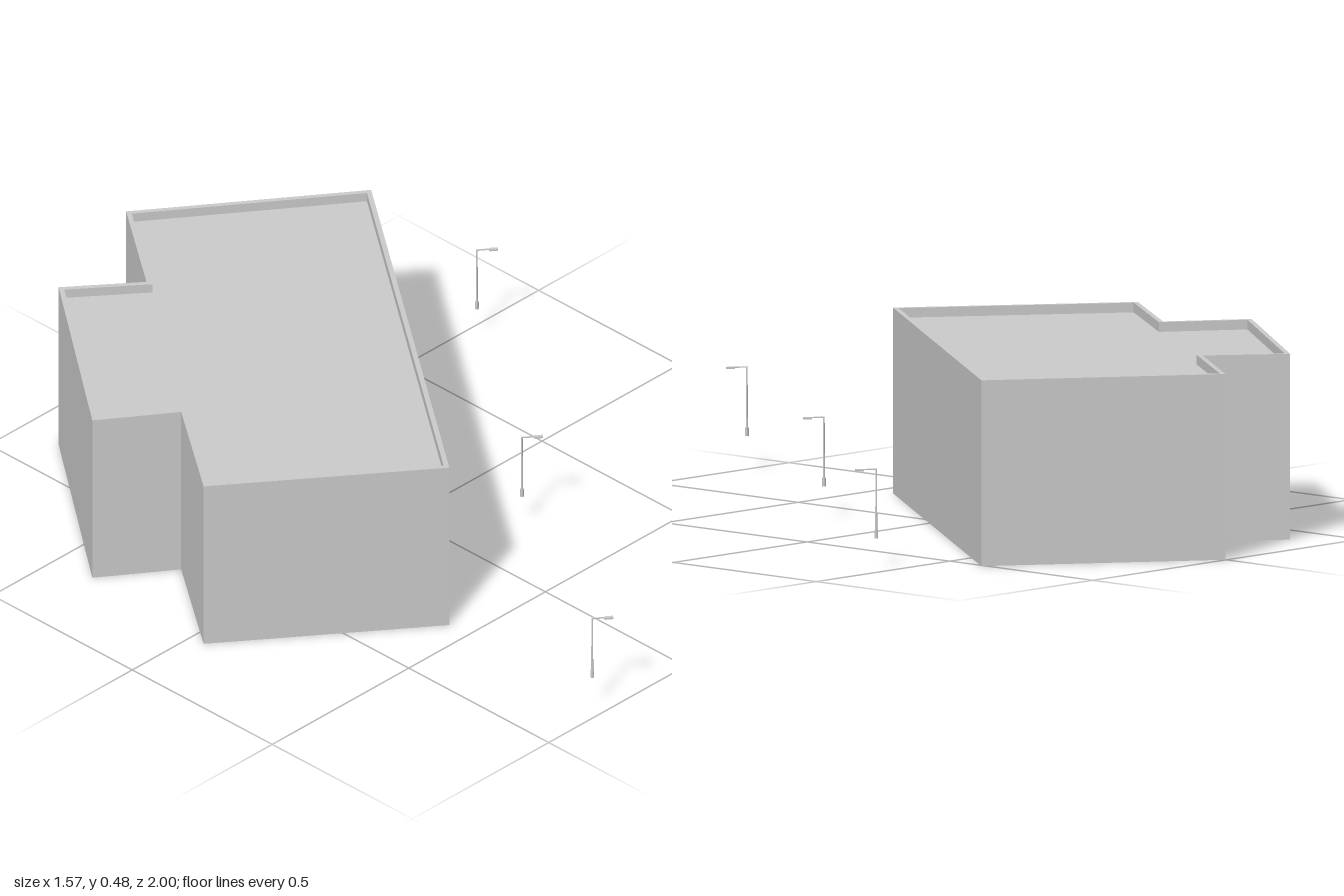
import * as THREE from 'three';

const HEIGHT = 0.48, PARAPET = 0.025, RIM = 0.013;
const grey = new THREE.MeshStandardMaterial({ color: 0xcccccc, flatShading: true, side: THREE.DoubleSide });

// Building footprint as (x, z) corners
const outline = [
  [0, -0.998], [0.51, -0.62], [-0.283, 0.433], [-0.785, 0.045],
  [-0.575, -0.24], [-0.762, -0.375], [-0.375, -0.873], [-0.2, -0.73],
].map(([x, z]) => new THREE.Vector2(x, z));

// Moves every corner inwards by d with mitred joints
function inset(points, d) {
  const n = points.length;
  const normal = (a, b) => new THREE.Vector2(a.y - b.y, b.x - a.x).normalize();
  return points.map((p, i) => {
    const n1 = normal(points[(i + n - 1) % n], p);
    const n2 = normal(p, points[(i + 1) % n]);
    return p.clone().addScaledVector(n1.clone().add(n2), d / (1 + n1.dot(n2)));
  });
}

function addMesh(parent, name, geometry, x = 0, y = 0, z = 0) {
  const mesh = new THREE.Mesh(geometry, grey);
  mesh.name = name;
  mesh.position.set(x, y, z);
  parent.add(mesh);
  return mesh;
}

function createBuilding() {
  const building = new THREE.Group();
  building.name = 'building';

  // Thin outer walls, open underneath
  const wallHeight = HEIGHT - PARAPET;
  outline.forEach((a, i) => {
    const b = outline[(i + 1) % outline.length];
    const wall = addMesh(building, 'wall', new THREE.PlaneGeometry(a.distanceTo(b), wallHeight),
      (a.x + b.x) / 2, wallHeight / 2, (a.y + b.y) / 2);
    wall.rotation.y = Math.atan2(b.y - a.y, a.x - b.x);
  });

  // Flat roof sunk behind a raised rim
  const inner = inset(outline, RIM);
  addMesh(building, 'roof', new THREE.ShapeGeometry(new THREE.Shape(inner)).rotateX(Math.PI / 2), 0, wallHeight, 0);
  const rim = new THREE.Shape(outline);
  rim.holes.push(new THREE.Path(inner));
  addMesh(building, 'parapet',
    new THREE.ExtrudeGeometry(rim, { depth: PARAPET, bevelEnabled: false }).rotateX(Math.PI / 2), 0, HEIGHT, 0);
  return building;
}

// Street lamp with a single arm reaching along local +x
function createLamp(x, y, z) {
  const lamp = new THREE.Group();
  lamp.name = 'streetLamp';
  const h = 0.18;
  addMesh(lamp, 'lampBase', new THREE.CylinderGeometry(0.005, 0.005, 0.022, 8), 0, 0.011, 0);
  addMesh(lamp, 'lampPole', new THREE.CylinderGeometry(0.002, 0.003, h, 8), 0, h / 2, 0);
  addMesh(lamp, 'lampArm', new THREE.BoxGeometry(0.035, 0.003, 0.003), 0.016, h - 0.0015, 0);
  addMesh(lamp, 'lampHead', new THREE.BoxGeometry(0.022, 0.005, 0.009), 0.043, h - 0.003, 0);
  lamp.position.set(x, y, z);
  lamp.rotation.y = -Math.atan2(0.38, 0.5);
  return lamp;
}

export function createModel() {
  const model = new THREE.Group();
  model.name = 'buildingWithStreetLamps';
  model.add(createBuilding());
  // Row of lamps in front of the long wall
  for (const [x, y, z] of [[-0.305, 0.093, 0.965], [0.184, 0.087, 0.237], [0.739, 0.081, -0.466]]) {
    model.add(createLamp(x, y, z));
  }
  return model;
}
